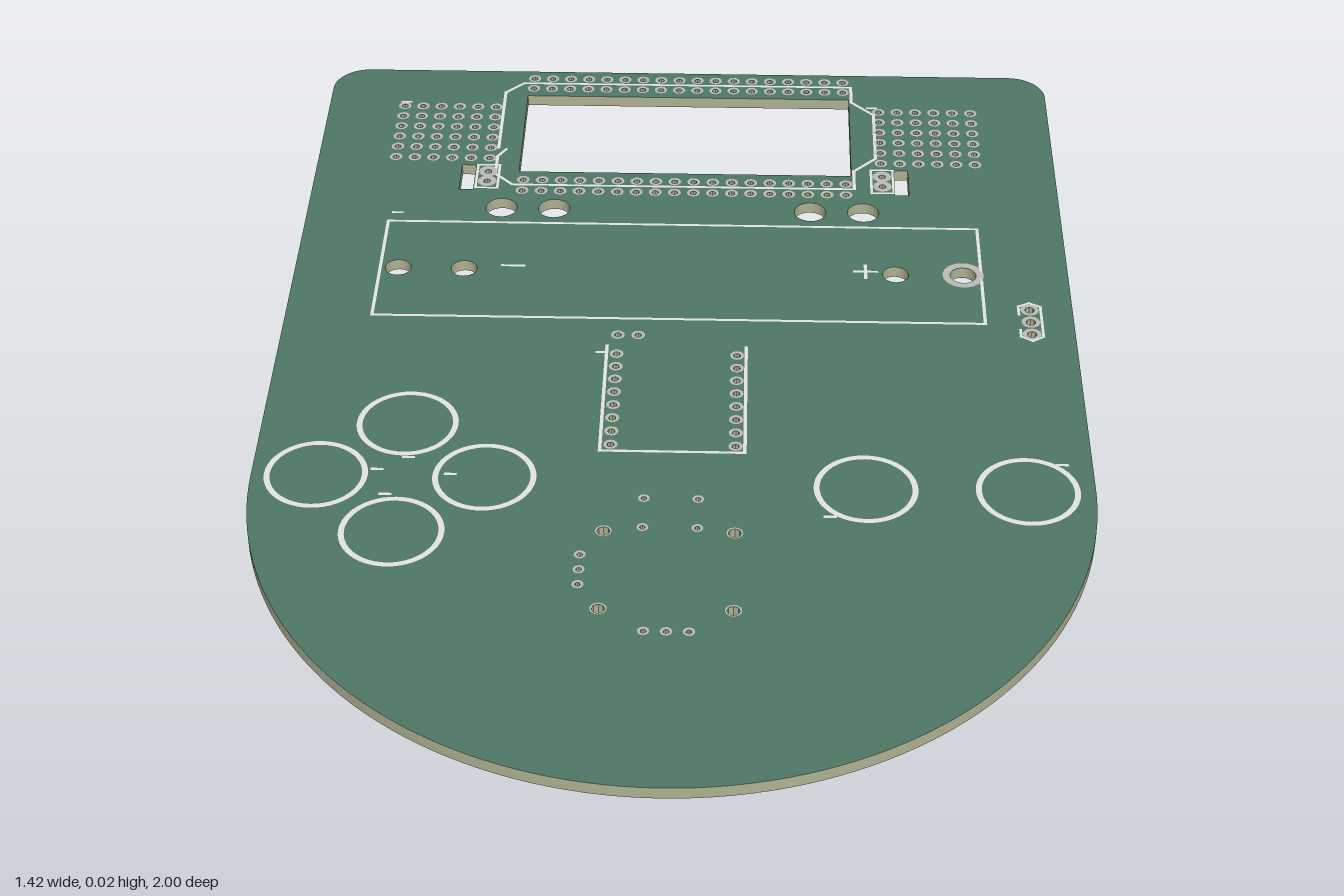
import * as THREE from 'three';
import { mergeGeometries } from 'three/addons/utils/BufferGeometryUtils.js';

const T = 0.022;      // board thickness
const P = 0.0364;     // pin pitch
const LIFT = 0.0008;  // height of printed layers over the board

const mat = (name, color, side = THREE.FrontSide) => {
  const m = new THREE.MeshStandardMaterial({ color, side });
  m.name = name;
  return m;
};

// Flat ring facing up (or down for the underside)
function flatRing(x, z, inner, outer, seg, under = false) {
  const g = new THREE.RingGeometry(inner, outer, seg);
  g.rotateX(under ? Math.PI / 2 : -Math.PI / 2);
  return g.translate(x, under ? -LIFT / 4 : T + LIFT, z);
}

// Flat printed line along a list of [x, z] points
function flatLine(points, width = 0.006) {
  return points.slice(1).map(([x2, z2], i) => {
    const [x1, z1] = points[i];
    const g = new THREE.PlaneGeometry(Math.hypot(x2 - x1, z2 - z1) + width, width);
    g.rotateX(-Math.PI / 2);
    g.rotateY(-Math.atan2(z2 - z1, x2 - x1));
    return g.translate((x1 + x2) / 2, T + LIFT, (z1 + z2) / 2);
  });
}

const rectPoints = (x1, z1, x2, z2) => [[x1, z1], [x2, z1], [x2, z2], [x1, z2], [x1, z1]];

function rectHole(x1, z1, x2, z2) {
  return new THREE.Path(rectPoints(x1, z1, x2, z2).map(([x, z]) => new THREE.Vector2(x, -z)));
}

function roundHole(x, z, r, seg) {
  const pts = [];
  for (let i = 0; i < seg; i++) {
    const a = (i / seg) * Math.PI * 2;
    pts.push(new THREE.Vector2(x + r * Math.cos(a), -z + r * Math.sin(a)));
  }
  return new THREE.Path(pts);
}

// Plated pins as [x, z, hole radius, pad radius]
function listPins() {
  const pins = [];
  const grid = (x, z, cols, rows, hole = 0.0065, pad = 0.0125) => {
    for (let c = 0; c < cols; c++)
      for (let r = 0; r < rows; r++) pins.push([x + c * P, z + r * P, hole, pad]);
  };
  grid(-0.31, -0.973, 18, 2);            // display header, back
  grid(-0.31, -0.611, 18, 2);            // display header, front
  grid(-0.562, -0.866, 6, 6);            // prototyping fields
  grid(0.378, -0.866, 6, 6);
  grid(-0.108, -0.066, 1, 8);            // controller module
  grid(0.106, -0.066, 1, 8);
  grid(-0.108, -0.122, 2, 1);
  grid(0.634, -0.215, 1, 3, 0.009, 0.017); // power switch
  grid(-0.146, 0.475, 1, 3, 0.005, 0.01);  // joystick pins
  grid(-0.036, 0.656, 3, 1, 0.005, 0.01);
  for (const x of [-0.046, 0.045])
    for (const z of [0.33, 0.404]) pins.push([x, z, 0.005, 0.01]);
  for (const x of [-0.11, 0.107])
    for (const z of [0.415, 0.605]) pins.push([x, z, 0.011, 0.014]);
  for (const x of [-0.379, 0.379])       // side connectors
    for (const z of [-0.638, -0.605]) pins.push([x, z, 0.007, 0.018]);
  return pins;
}

export function createModel() {
  const root = new THREE.Group();
  root.name = 'circuitBoard';

  const mask = mat('green solder mask', 0x4f7966);
  const core = mat('tan board core', 0xafb293);
  const print = mat('white print', 0xe6e6e0, THREE.DoubleSide);
  const metal = mat('grey plating', 0xbdbdb8, THREE.DoubleSide);

  const add = (name, geometries, material) => {
    const mesh = new THREE.Mesh(mergeGeometries(geometries), material);
    mesh.name = name;
    root.add(mesh);
  };

  // Board outline: rounded back corners, half-round front
  const W = 0.712, R = 0.07, ZC = 0.288;
  const outline = new THREE.Shape();
  outline.moveTo(W, -ZC);
  outline.lineTo(W, 1 - R);
  outline.absarc(W - R, 1 - R, R, 0, Math.PI / 2, false);
  outline.lineTo(-W + R, 1);
  outline.absarc(-W + R, 1 - R, R, Math.PI / 2, Math.PI, false);
  outline.lineTo(-W, -ZC);
  outline.absarc(0, -ZC, W, Math.PI, Math.PI * 2, false);

  // Display window, slots, mounting holes and pin holes
  const pins = listPins();
  outline.holes.push(
    rectHole(-0.32, -0.91, 0.32, -0.64),
    rectHole(-0.431, -0.66, -0.404, -0.577),
    rectHole(0.402, -0.66, 0.429, -0.577)
  );
  for (const x of [-0.345, -0.245, 0.24, 0.34]) outline.holes.push(roundHole(x, -0.517, 0.03, 24));
  for (const x of [-0.522, -0.4, 0.395, 0.519]) outline.holes.push(roundHole(x, -0.319, 0.024, 24));
  for (const [x, z, r] of pins) outline.holes.push(roundHole(x, z, r, 8));

  const boardGeo = new THREE.ExtrudeGeometry(outline, { depth: T, bevelEnabled: false, curveSegments: 40 });
  boardGeo.rotateX(-Math.PI / 2);
  const board = new THREE.Mesh(boardGeo, [mask, core]);
  board.name = 'board';
  root.add(board);

  // Plated pads on both faces
  add('pinPads', pins.flatMap(([x, z, r, R2]) => [
    flatRing(x, z, r, R2, 12), flatRing(x, z, r, R2, 12, true)
  ]), metal);
  add('batteryPads', [false, true].map(u => flatRing(0.519, -0.319, 0.024, 0.038, 24, u)), metal);

  // Button rings
  const buttons = [[-0.46, 0.14], [-0.602, 0.281], [-0.317, 0.281], [-0.46, 0.425], [0.326, 0.296], [0.598, 0.296]];
  add('buttonRings', buttons.map(([x, z]) => flatRing(x, z, 0.078, 0.088, 48)), print);

  // Printed outlines
  add('batteryOutline', [
    ...flatLine(rectPoints(-0.555, -0.467, 0.552, -0.171)),
    ...flatLine([[-0.33, -0.329], [-0.29, -0.329]]),
    ...flatLine([[0.32, -0.326], [0.36, -0.326]]),
    ...flatLine([[0.34, -0.346], [0.34, -0.306]])
  ], print);
  add('controllerOutline', flatLine([[-0.126, -0.09], [-0.126, 0.206], [0.122, 0.206], [0.122, -0.09]]), print);
  add('displayOutline', [
    ...flatLine([[-0.365, -0.72], [-0.365, -0.92], [-0.33, -0.955], [0.325, -0.955], [0.325, -0.9],
      [0.368, -0.855], [0.368, -0.7], [0.325, -0.655], [0.325, -0.594], [-0.33, -0.594],
      [-0.365, -0.63], [-0.365, -0.69], [-0.35, -0.715]])
  ], print);
  add('connectorOutlines', [-0.379, 0.379].flatMap(x =>
    flatLine(rectPoints(x - 0.021, -0.66, x + 0.021, -0.582), 0.005)), print);
  add('switchOutline', flatLine([[0.614, -0.2], [0.614, -0.225], [0.634, -0.236], [0.654, -0.225],
    [0.654, -0.135], [0.634, -0.122], [0.614, -0.135], [0.614, -0.155]], 0.005), print);

  // Small printed marks beside the parts
  add('partMarks', [[-0.54, -0.495], [-0.56, -0.88], [0.365, -0.88], [-0.5, 0.265], [-0.45, 0.232],
    [-0.48, 0.33], [-0.375, 0.275], [0.265, 0.37], [0.66, 0.225], [-0.135, -0.07]]
    .flatMap(([x, z]) => flatLine([[x - 0.008, z], [x + 0.008, z]])), print);

  return root;
}
